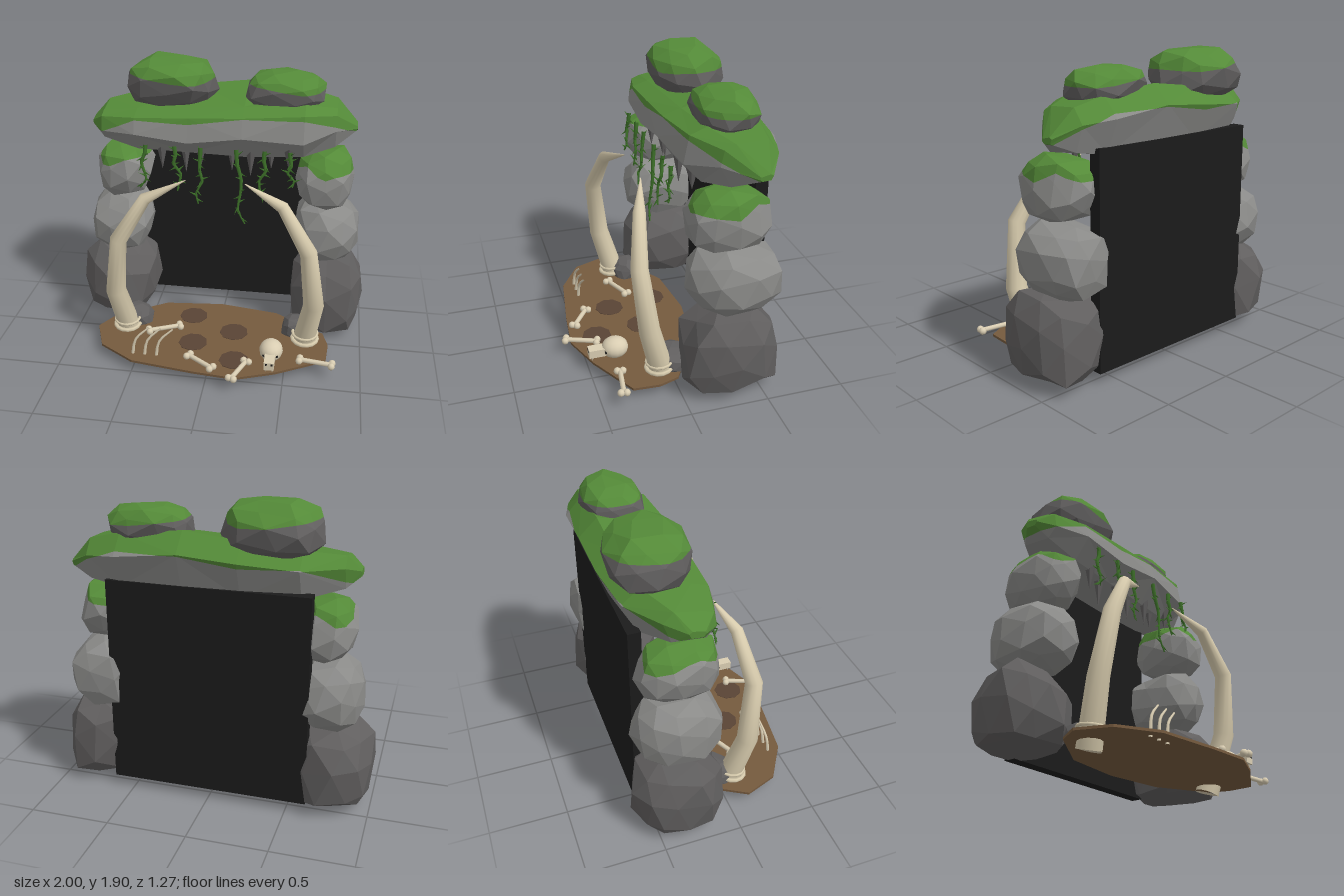
import * as THREE from 'three';

const mat = (name, color) => {
  const m = new THREE.MeshStandardMaterial({ color });
  m.name = name;
  return m;
};

export function createModel() {
  const root = new THREE.Group();
  root.name = 'caveEntrance';
  const M = {
    stone: mat('lightStone', 0x8a8a88),
    dark: mat('darkStone', 0x605e5e),
    moss: mat('moss', 0x548a38),
    vine: mat('vineGreen', 0x3c6f28),
    bone: mat('bone', 0xd9cdb2),
    ivory: mat('ivory', 0xd7cbad),
    soil: mat('soil', 0x755a3e),
    patch: mat('darkSoil', 0x594435),
    black: mat('caveBlack', 0x1b1b1b),
  };
  const V = (x, y, z) => new THREE.Vector3(x, y, z);
  const add = (name, geo, material, pos = [0, 0, 0], parent = root) => {
    const m = new THREE.Mesh(geo, material);
    m.name = name;
    m.position.set(...pos);
    parent.add(m);
    return m;
  };
  const hash = (x, y, z, seed) => {
    const s = Math.sin(x * 127.1 + y * 311.7 + z * 74.7 + seed * 53.3) * 43758.5453;
    return s - Math.floor(s);
  };

  // Faceted geometry from triangles, cut along a moss line: group 0 stone, group 1 moss
  const mossSplit = (tris, height) => {
    const parts = [[], []];
    for (const tri of tris) {
      const h = tri.map(height);
      [-1, 1].forEach((sign, k) => {
        const poly = [];
        for (let i = 0; i < 3; i++) {
          const j = (i + 1) % 3;
          if (h[i] * sign >= 0) poly.push(tri[i]);
          if (h[i] * h[j] < 0) poly.push(tri[i].clone().lerp(tri[j], h[i] / (h[i] - h[j])));
        }
        for (let i = 1; i + 1 < poly.length; i++) parts[k].push(poly[0], poly[i], poly[i + 1]);
      });
    }
    const g = new THREE.BufferGeometry().setFromPoints([...parts[0], ...parts[1]]);
    g.addGroup(0, parts[0].length, 0);
    g.addGroup(parts[0].length, parts[1].length, 1);
    g.computeVertexNormals();
    return g;
  };

  // Chunky boulder fitted into a box and cut flat at ground level
  const FLOOR = 0.06;
  const rock = (name, material, min, max, seed, blocky = 0.8, height = () => -1) => {
    const g = new THREE.IcosahedronGeometry(1, 1);
    g.rotateY(seed * 1.3).rotateX(seed * 0.7);
    const p = g.attributes.position;
    const pts = [];
    for (let i = 0; i < p.count; i++) {
      const v = V().fromBufferAttribute(p, i);
      const k = [v.x, v.y, v.z].map((n) => Math.round(n * 100) / 100 + 0);
      const r = 0.88 + 0.16 * hash(...k, seed);
      pts.push(V(...v.toArray().map((n) => Math.sign(n) * Math.abs(n) ** blocky * r)));
    }
    const box = new THREE.Box3().setFromPoints(pts);
    const size = box.getSize(V());
    const lo = V(...min), span = V(...max).sub(lo);
    for (const v of pts) {
      v.sub(box.min).divide(size).multiply(span).add(lo);
      v.y = Math.max(v.y, FLOOR);
    }
    const tris = [];
    for (let i = 0; i < pts.length; i += 3) tris.push(pts.slice(i, i + 3));
    return add(name, mossSplit(tris, height), [material, M.moss]);
  };

  // Stone columns
  const columnMoss = (v) => v.y - 1.23 - 0.035 * Math.sin(v.x * 17 + v.z * 13);
  rock('rightBottomStone', M.dark, [-1, -0.1, -0.64], [-0.49, 0.56, -0.03], 1, 0.8);
  rock('leftBottomStone', M.dark, [0.49, -0.1, -0.63], [1, 0.56, -0.02], 2, 0.8);
  rock('rightMiddleStone', M.stone, [-0.93, 0.51, -0.61], [-0.49, 0.96, -0.05], 3);
  rock('leftMiddleStone', M.stone, [0.5, 0.51, -0.62], [0.94, 0.96, -0.05], 4);
  rock('rightTopStone', M.stone, [-0.87, 0.94, -0.56], [-0.49, 1.34, -0.05], 5, 0.8, columnMoss);
  rock('leftTopStone', M.stone, [0.49, 0.94, -0.56], [0.88, 1.34, -0.05], 6, 0.8, columnMoss);

  // Lintel lofted along x: x, front z, back z, bottom, front top, back top
  const stations = [
    [-0.86, -0.2, -0.3, 1.45, 1.49, 1.5],
    [-0.78, -0.11, -0.42, 1.38, 1.56, 1.59],
    [-0.55, -0.04, -0.58, 1.32, 1.59, 1.63],
    [-0.2, -0.03, -0.63, 1.31, 1.61, 1.67],
    [0.15, -0.03, -0.64, 1.3, 1.63, 1.71],
    [0.54, -0.07, -0.63, 1.31, 1.65, 1.67],
    [0.74, -0.22, -0.57, 1.35, 1.61, 1.62],
    [0.88, -0.4, -0.48, 1.43, 1.46, 1.47],
  ];
  const loops = stations.map(([x, f, b, y0, yf, yb], i) => {
    const d = f - b, h = yf - y0, bulge = i % 2 ? 0.36 : 0.5;
    return [[y0, f - d * 0.2], [y0 + h * bulge, f], [yf - h * 0.12, f - d * 0.06], [yf, f - d * 0.25],
      [yb, b + d * 0.2], [yb - h * 0.35, b], [y0 + h * 0.1, b + d * 0.15]].map(([y, z]) => V(x, y, z));
  });
  const lintelTris = [];
  for (let i = 0; i + 1 < loops.length; i++) {
    for (let j = 0; j < 7; j++) {
      const a = loops[i], b = loops[i + 1], k = (j + 1) % 7;
      if ((i + j) % 2) lintelTris.push([a[j], b[j], b[k]], [a[j], b[k], a[k]]);
      else lintelTris.push([a[j], b[j], a[k]], [b[j], b[k], a[k]]);
    }
  }
  const first = loops[0], last = loops[loops.length - 1];
  for (let j = 1; j < 6; j++) {
    lintelTris.push([first[0], first[j], first[j + 1]], [last[0], last[j + 1], last[j]]);
  }
  const lintelMoss = (v) =>
    v.y - (1.56 + 0.06 * v.x - 0.75 * Math.max(0, v.x - 0.6) - 0.35 * Math.max(0, -0.6 - v.x)) - 0.015 * Math.sin(v.x * 9);
  add('lintel', mossSplit(lintelTris, lintelMoss), [M.stone, M.moss]);

  // Boulders on the lintel
  rock('rightBoulder', M.dark, [-0.66, 1.56, -0.62], [-0.04, 1.89, -0.14], 7, 0.8,
    (v) => v.y - 1.775 - 0.02 * Math.sin(v.x * 8));
  rock('leftBoulder', M.dark, [0.14, 1.56, -0.56], [0.66, 1.825, -0.18], 8, 0.8,
    (v) => v.y - 1.73 - 0.02 * Math.sin(v.x * 8));

  // Dark cave mouth
  add('caveBack', new THREE.BoxGeometry(1.25, 1.33, 0.08), M.black, [0, 0.725, -0.535]);

  // Stalactites
  [[-0.39, 1.18], [-0.24, 1.14], [-0.13, 1.21], [0.07, 1.17], [0.2, 1.16], [0.33, 1.2], [0.45, 1.22]]
    .forEach(([x, y], i) => {
      const h = 1.38 - y;
      const g = new THREE.ConeGeometry(0.045, h, 6).rotateX(Math.PI).toNonIndexed();
      g.computeVertexNormals();
      add('stalactite', g, M.dark, [x, y + h / 2, -0.16 - 0.05 * (i % 2)]);
    });

  // Soil slab with dark patches
  const outline = [[-0.82, 0.13], [-0.74, 0.34], [-0.5, 0.49], [-0.08, 0.55], [0.2, 0.575], [0.45, 0.48],
    [0.77, 0.3], [0.78, 0.13], [0.74, 0], [0.4, -0.21], [0, -0.27], [-0.4, -0.23], [-0.73, -0.02]];
  const slab = new THREE.ExtrudeGeometry(
    new THREE.Shape(outline.map(([x, z]) => new THREE.Vector2(x, -z))), { depth: 0.016, bevelEnabled: false });
  add('ground', slab.rotateX(-Math.PI / 2), M.soil, [0, 0.058, 0]);
  [[-0.13, 0.23], [0.13, 0.07], [0.17, 0.39], [-0.18, -0.09]].forEach(([x, z]) =>
    add('soilPatch', new THREE.CylinderGeometry(0.098, 0.098, 0.006, 9), M.patch, [x, 0.074, z]));

  // Tube whose radius follows a rule; its rings are spaced evenly between the path points
  const taperTube = (pts, segs, sides, radius) => {
    const curve = new THREE.CatmullRomCurve3(pts.map((q) => V(...q)));
    curve.getPointAt = curve.getPoint;
    curve.getTangentAt = curve.getTangent;
    const g = new THREE.TubeGeometry(curve, segs, 1, sides);
    const p = g.attributes.position, v = V();
    for (let i = 0; i < p.count; i++) {
      const u = Math.floor(i / (sides + 1)) / segs, c = curve.getPoint(u);
      v.fromBufferAttribute(p, i).sub(c).multiplyScalar(radius(u)).add(c);
      p.setXYZ(i, v.x, v.y, v.z);
    }
    return g;
  };

  // Tusks with collars and footing stones
  for (const s of [-1, 1]) {
    const path = [[0.605, 0.015, 0.06], [0.668, 0.41, 0.168], [0.617, 0.82, 0.215], [0.44, 1.105, 0.165], [0.19, 1.213, 0.085]];
    add('tusk', taperTube(path.map(([x, y, z]) => [x * s, y, z]), 4, 12,
      (u) => 0.075 * (1 - u) ** 0.5 + 0.003), M.ivory);
    add('tuskBase', new THREE.CircleGeometry(0.076, 12).rotateX(Math.PI / 2 + 0.25), M.ivory, [0.605 * s, 0.016, 0.06]);
    for (const [y, tube] of [[0.09, 0.015], [0.135, 0.01]]) {
      const ring = add('tuskCollar', new THREE.TorusGeometry(0.084, tube, 6, 14), M.ivory, [0.62 * s, y, 0.088]);
      ring.rotation.x = Math.PI / 2 + 0.1;
    }
    rock('footingStone', M.dark, [0.575 * s - 0.12, 0, -0.1], [0.575 * s + 0.12, 0.19, 0.09], 9 + s);
  }

  // Hanging vines with thorny leaves
  [[-0.47, 1.11, -0.02], [-0.28, 1.1, 0.04], [-0.11, 1.02, -0.01], [0.12, 0.9, 0.05], [0.3, 1.07, -0.02], [0.46, 1.17, 0.02]]
    .forEach(([x, y, drift], n) => {
      const g = new THREE.Group();
      g.name = 'vine';
      root.add(g);
      const pts = [];
      for (let i = 0; i <= 5; i++) {
        const t = i / 5;
        pts.push([x + drift * t + (i > 1 ? 0.022 * Math.sin(i * 2.1 + n) : 0), 1.4 + (y - 1.4) * t, -0.022 + 0.09 * (1.4 - y) * t]);
      }
      add('vineStem', taperTube(pts, 10, 5, (u) => 0.015 - 0.01 * u), M.vine, [0, 0, 0], g);
      const curve = new THREE.CatmullRomCurve3(pts.map((q) => V(...q)));
      for (let i = 1; i < 13; i++) {
        const c = curve.getPointAt(i / 13), a = i * 2.4 + n;
        const dir = V(Math.cos(a), -0.5 + 0.9 * (i % 2), 0.5 * Math.sin(a)).normalize();
        const leaf = add('vineLeaf', new THREE.ConeGeometry(0.009, 0.052, 4), M.vine,
          c.addScaledVector(dir, 0.025).toArray(), g);
        leaf.quaternion.setFromUnitVectors(V(0, 1, 0), dir);
      }
    });

  // Scattered bones
  [[-0.13, 0.4, 0.04, 0.515], [0.255, 0.41, 0.18, 0.605], [0.6, 0.34, 0.81, 0.37], [-0.45, 0.16, -0.25, 0.07]]
    .forEach(([x0, z0, x1, z1]) => {
      const g = new THREE.Group();
      g.name = 'longBone';
      const len = Math.hypot(x1 - x0, z1 - z0);
      add('boneShaft', new THREE.CylinderGeometry(0.016, 0.016, len, 8).rotateZ(Math.PI / 2), M.bone, [0, 0, 0], g);
      for (const e of [-1, 1]) for (const w of [-1, 1]) {
        add('boneKnob', new THREE.SphereGeometry(0.024, 8, 6), M.bone, [e * len / 2, 0, w * 0.018], g);
      }
      g.position.set((x0 + x1) / 2, 0.091, (z0 + z1) / 2);
      g.rotation.y = -Math.atan2(z1 - z0, x1 - x0);
      root.add(g);
    });

  // Ribs sticking out of the soil
  for (let i = 0; i < 3; i++) {
    const x = -0.51 + i * 0.08;
    add('rib', taperTube([[x, 0.045, 0.41], [x + 0.025, 0.18, 0.4], [x + 0.115, 0.27, 0.38]], 6, 6,
      (u) => 0.012 - 0.006 * u), M.bone);
  }

  // Skull
  const skull = new THREE.Group();
  skull.name = 'skull';
  skull.position.set(0.41, 0.138, 0.325);
  root.add(skull);
  add('cranium', new THREE.SphereGeometry(1, 14, 10).scale(0.078, 0.07, 0.088), M.bone, [0, 0, 0], skull);
  add('snout', new THREE.BoxGeometry(0.066, 0.055, 0.12), M.bone, [0, -0.01, 0.115], skull);
  for (const s of [-1, 1]) {
    add('eyeSocket', new THREE.SphereGeometry(0.009, 8, 6), M.black, [s * 0.043, -0.002, 0.068], skull);
    add('nostril', new THREE.BoxGeometry(0.012, 0.012, 0.006), M.black, [s * 0.018, 0.005, 0.174], skull);
    add('tooth', new THREE.ConeGeometry(0.011, 0.035, 6).rotateX(Math.PI), M.bone, [s * 0.022, -0.05, 0.155], skull);
  }
  return root;
}
